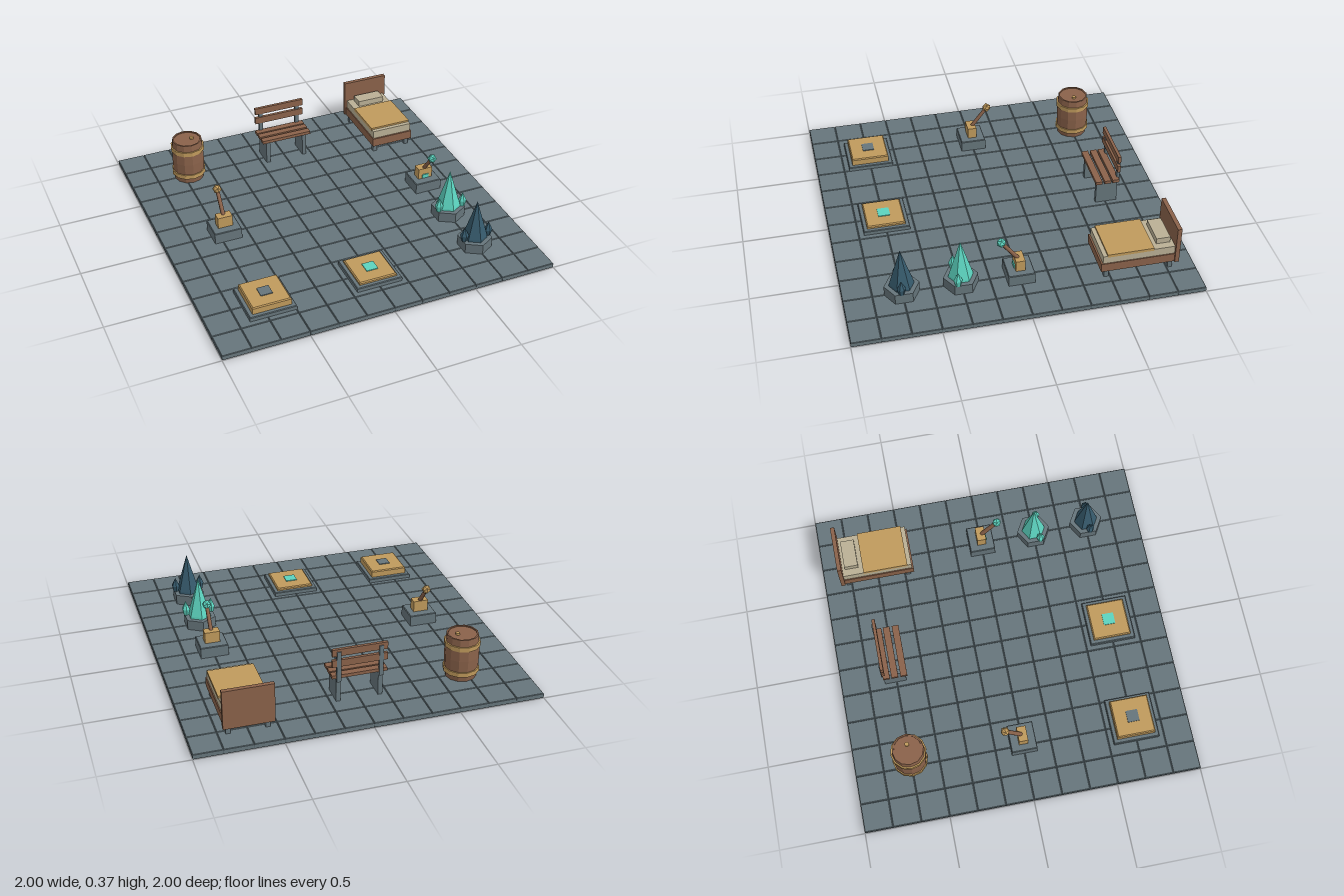
import * as THREE from 'three';

const mat = (name, color) => {
  const m = new THREE.MeshStandardMaterial({ color });
  m.name = name;
  return m;
};

export function createModel() {
  const stone = mat('stone', 0x66757b);
  const grout = mat('grout', 0x4b5960);
  const wood = mat('wood', 0x8a624a);
  const brass = mat('brass', 0xc09a5c);
  const linen = mat('linen', 0xbab095);
  const teal = mat('tealCrystal', 0x5cd3bf);
  const navy = mat('darkCrystal', 0x365a6c);

  const root = new THREE.Group();
  root.name = 'dungeonProps';
  const FLOOR = 0.03;

  const group = (name, x, z) => {
    const g = new THREE.Group();
    g.name = name;
    g.position.set(x, FLOOR, z);
    root.add(g);
    return g;
  };
  const add = (parent, name, geo, m, x = 0, y = 0, z = 0) => {
    const mesh = new THREE.Mesh(geo, m);
    mesh.name = name;
    mesh.position.set(x, y, z);
    parent.add(mesh);
    return mesh;
  };
  // Box given by its bottom height
  const box = (parent, name, m, w, h, d, x = 0, y = 0, z = 0) =>
    add(parent, name, new THREE.BoxGeometry(w, h, d), m, x, y + h / 2, z);
  // Faceted solid of revolution from [radius, height] pairs
  const turned = (points, sides, phase = 0) => {
    const geo = new THREE.LatheGeometry(points.map(([r, y]) => new THREE.Vector2(r, y)), sides, phase).toNonIndexed();
    geo.computeVertexNormals();
    return geo;
  };
  // Square block whose top edge is bevelled
  const bevelBlock = (half, h, bevel) => {
    const k = Math.SQRT2;
    return turned([[0, 0], [half * k, 0], [half * k, h - bevel], [(half - bevel) * k, h], [0, h]], 4, Math.PI / 4);
  };

  // Paved floor
  const floor = group('floor', 0, 0);
  floor.position.y = 0;
  box(floor, 'floorBed', grout, 1.994, 0.025, 1.994);
  const pitch = 2 / 12;
  const slab = bevelBlock(pitch / 2 - 0.001, 0.026, 0.003);
  for (let i = 0; i < 12; i++)
    for (let j = 0; j < 12; j++)
      add(floor, 'floorSlab', slab, stone, -1 + (i + 0.5) * pitch, 0.004, -1 + (j + 0.5) * pitch);

  // Barrel
  const barrel = group('barrel', -0.633, -0.667);
  add(barrel, 'barrelBody', turned([[0, 0], [0.09, 0], [0.098, 0.07], [0.1, 0.135], [0.098, 0.2],
    [0.091, 0.27], [0.082, 0.27], [0.082, 0.264], [0, 0.264]], 12), wood);
  for (const y of [0.035, 0.2])
    add(barrel, 'barrelHoop', turned([[0.092, 0], [0.104, 0], [0.104, 0.028], [0.092, 0.028]], 12), brass, 0, y, 0);
  add(barrel, 'barrelBung', new THREE.CylinderGeometry(0.013, 0.013, 0.014, 8), brass, 0.03, 0.268, 0);

  // Bench
  const bench = group('bench', 0, -0.672);
  for (const s of [-1, 1]) {
    box(bench, 'benchLeg', stone, 0.026, 0.148, 0.13, s * 0.122);
    box(bench, 'benchPost', stone, 0.024, 0.19, 0.018, s * 0.122, 0.13, -0.068);
  }
  for (const z of [-0.048, 0.002, 0.056])
    box(bench, 'seatSlat', wood, 0.32, 0.02, 0.04, 0, 0.15, z);
  for (const y of [0.225, 0.292])
    box(bench, 'backSlat', wood, 0.32, 0.043, 0.018, 0, y, -0.062);

  // Bed
  const bed = group('bed', 0.667, -0.667);
  box(bed, 'bedFrame', wood, 0.27, 0.055, 0.44, 0, 0.05, 0.005);
  box(bed, 'headboard', wood, 0.288, 0.236, 0.025, 0, 0.05, -0.217);
  box(bed, 'mattress', linen, 0.258, 0.05, 0.42, 0, 0.105, 0.005);
  box(bed, 'blanket', brass, 0.264, 0.018, 0.27, 0, 0.148, 0.055);
  box(bed, 'pillow', linen, 0.172, 0.036, 0.082, 0, 0.155, -0.147);
  for (const x of [-0.11, 0.11])
    for (const z of [-0.185, 0.19])
      box(bed, 'bedLeg', stone, 0.026, 0.052, 0.026, x, 0, z);

  // Levers, one thrown back and one thrown forward
  const lever = (name, x, dir, knobMat) => {
    const g = group(name, x, 0);
    add(g, 'leverBase', bevelBlock(0.083, 0.068, 0.004), stone).scale.z = 0.92;
    box(g, 'leverHousing', brass, 0.09, 0.07, 0.054, 0, 0.067, 0);
    const a = new THREE.Vector3(0, 0.12, 0);
    const b = new THREE.Vector3(0, 0.255, dir * 0.102);
    const along = b.clone().sub(a);
    const arm = add(g, 'leverArm', new THREE.CylinderGeometry(0.012, 0.013, along.length(), 6), wood);
    arm.position.copy(a).addScaledVector(along, 0.5);
    arm.quaternion.setFromUnitVectors(new THREE.Vector3(0, 1, 0), along.normalize());
    add(g, 'leverKnob', new THREE.IcosahedronGeometry(0.028, 0), knobMat).position.copy(b);
    return g;
  };
  lever('leverBack', -0.633, -1, brass);
  const forward = lever('leverForward', 0.667, 1, teal);
  box(forward, 'leverLight', teal, 0.04, 0.025, 0.009, 0, 0.072, 0.029);

  // Pressure plates, raised and pressed
  const plate = (name, x, height, m) => {
    const g = group(name, x, 0.665);
    add(g, 'plateBase', bevelBlock(0.137, 0.026, 0.004), stone);
    add(g, 'platePad', bevelBlock(0.114, height, 0.006), brass, 0, 0.024, 0);
    box(g, 'plateInset', m, 0.07, 0.009, 0.07, 0, 0.024 + height - 0.004, 0);
  };
  plate('plateRaised', -0.633, 0.044, stone);
  plate('platePressed', 0, 0.018, teal);

  // Crystal clusters on hexagonal plinths
  const cluster = (name, z, m, shardZ) => {
    const g = group(name, 0.667, z);
    add(g, 'crystalPlinth', turned([[0, 0], [0.1, 0], [0.1, 0.062], [0, 0.062]], 6), stone);
    add(g, 'mainCrystal', turned([[0, 0.055], [0.072, 0.055], [0.07, 0.075], [0, 0.307]], 6), m);
    for (const s of [-1, 1])
      add(g, 'sideCrystal', turned([[0, 0.05], [0.016, 0.06], [0.025, 0.1], [0, 0.152]], 6), m, s * 0.077, 0, shardZ);
  };
  cluster('brightCluster', 0.333, teal, 0.03);
  cluster('darkCluster', 0.667, navy, 0.012);

  return root;
}
